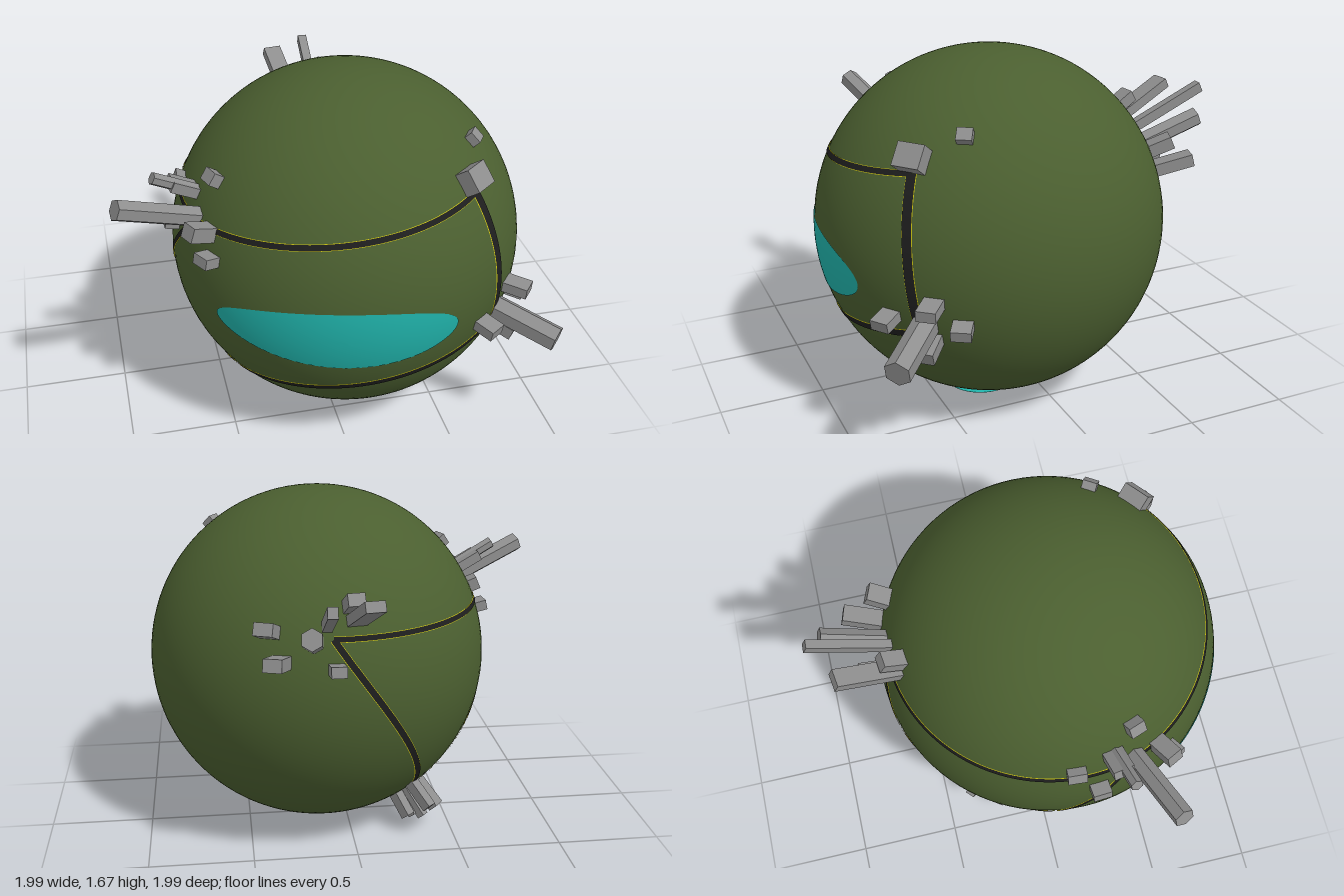
import * as THREE from 'three';

const R = 0.837;
const CENTER = new THREE.Vector3(0.128, 0.84, 0.155);
const DEG = Math.PI / 180;

const mat = (name, color, side = THREE.FrontSide) => {
  const m = new THREE.MeshStandardMaterial({ color, side });
  m.name = name;
  return m;
};

// Unit direction for a latitude and longitude (longitude 0 faces +z, 90 faces +x)
const dir = (lat, lon) => new THREE.Vector3(
  Math.cos(lat * DEG) * Math.sin(lon * DEG), Math.sin(lat * DEG), Math.cos(lat * DEG) * Math.cos(lon * DEG));

// Grid surface from a rule p(u, v)
function gridGeometry(nu, nv, rule) {
  const pos = [], index = [];
  for (let i = 0; i <= nu; i++)
    for (let j = 0; j <= nv; j++) pos.push(...rule(i / nu, j / nv).toArray());
  for (let i = 0; i < nu; i++)
    for (let j = 0; j < nv; j++) {
      const a = i * (nv + 1) + j, b = a + nv + 1;
      index.push(a, b, a + 1, b, b + 1, a + 1);
    }
  const g = new THREE.BufferGeometry();
  g.setAttribute('position', new THREE.Float32BufferAttribute(pos, 3));
  g.setIndex(index);
  g.computeVertexNormals();
  return g;
}

// Strip that follows the globe between two [lat, lon] points
function roadGeometry([lat0, lon0], [lat1, lon1], width, lift) {
  const at = t => dir(lat0 + (lat1 - lat0) * t, lon0 + (lon1 - lon0) * t);
  return gridGeometry(64, 2, (u, v) => {
    const n = at(u);
    const side = at(u + 0.01).sub(at(u - 0.01)).cross(n).normalize();
    return n.multiplyScalar(R).addScaledVector(side, (0.5 - v) * width).setLength(R + lift);
  });
}

export function createModel() {
  const model = new THREE.Group();
  const globe = new THREE.Group();
  globe.name = 'globe';
  globe.position.copy(CENTER);
  model.add(globe);

  const green = mat('grass green', 0x4b5f30);
  const teal = mat('water teal', 0x20b2aa, THREE.DoubleSide);
  const grey = mat('building grey', 0x8e8e8e);
  const black = mat('asphalt', 0x1e1e1e, THREE.DoubleSide);
  const yellow = mat('road edge yellow', 0xc8c010, THREE.DoubleSide);

  const add = (name, geometry, material, parent = globe) => {
    const m = new THREE.Mesh(geometry, material);
    m.name = name;
    parent.add(m);
    return m;
  };

  add('planet', new THREE.SphereGeometry(R, 96, 64), green);

  // Front lake: an ellipse laid onto the surface
  add('frontLake', gridGeometry(16, 64, (u, v) => {
    const a = v * Math.PI * 2;
    const x = -0.188 + 0.515 * u * Math.cos(a), y = -0.075 + 0.155 * u * Math.sin(a);
    return new THREE.Vector3(x, y, Math.sqrt(R * R - x * x - y * y)).setLength(R + 0.003);
  }), teal);

  // Lower lake: a flat disc whose outer edge breaks the surface as a crescent
  const lower = add('lowerLake', new THREE.SphereGeometry(1, 48, 16), teal);
  lower.scale.set(0.17, 0.012, 0.18);
  lower.position.set(0.25, 0.043, 0.25).sub(CENTER);

  // Roads between the settlements
  const west = [20, -73], back = [21, -180], east = [-17, 45], north = [32.5, 39.5], south = [-48, -132];
  const roads = [
    [north, west, 0.026], [north, east, 0.045], [east, south, 0.036],
    [west, back, 0.024], [west, south, 0.026], [back, south, 0.03],
  ];
  for (const [from, to, width] of roads) {
    add('roadEdge', roadGeometry(from, to, width + 0.005, 0.002), yellow);
    add('road', roadGeometry(from, to, width, 0.004), black);
  }

  // Buildings stand radially: [tip x, y, z, width, depth, hexagonal]
  const towns = {
    westTown: [
      [-0.98, 1.29, 0.5, 0.1, 0.1, true], [-0.8, 1.33, 0.33, 0.06, 0.06, true],
      [-0.72, 1.28, 0.3, 0.1, 0.05], [-0.56, 1.35, 0.4, 0.08, 0.06],
      [-0.75, 1.04, 0.21, 0.09, 0.05], [-0.64, 1.04, 0.6, 0.09, 0.05],
      [-0.68, 1.17, 0.56, 0.08, 0.07], [-0.68, 1.19, 0.1, 0.09, 0.06],
    ],
    backTown: [
      [-0.02, 1.36, -0.88, 0.09, 0.05], [0.17, 1.37, -0.98, 0.045, 0.05],
      [0.25, 1.24, -0.92, 0.1, 0.09, true], [0.41, 1.09, -0.8, 0.085, 0.06],
      [0.12, 1.04, -0.78, 0.07, 0.05], [0.44, 1.21, -0.66, 0.09, 0.06],
      [0.03, 1.33, -0.66, 0.08, 0.06],
    ],
    eastTown: [
      [0.95, 0.58, 0.92, 0.125, 0.125, true], [0.86, 0.76, 0.76, 0.09, 0.05],
      [0.9, 0.655, 0.62, 0.09, 0.05], [0.66, 0.65, 0.9, 0.09, 0.05],
      [0.81, 0.54, 0.76, 0.1, 0.06],
    ],
    northTown: [[0.59, 1.38, 0.72, 0.13, 0.11], [0.65, 1.46, 0.49, 0.07, 0.06]],
    southTown: [
      [-0.43, 0.11, -0.24, 0.07, 0.05], [-0.36, 0.07, -0.26, 0.04, 0.04],
      [-0.32, 0.07, -0.24, 0.05, 0.04], [-0.28, 0.09, -0.29, 0.05, 0.05],
      [-0.37, 0.17, -0.37, 0.05, 0.05],
    ],
  };
  const UP = new THREE.Vector3(0, 1, 0);
  for (const [name, buildings] of Object.entries(towns)) {
    const town = new THREE.Group();
    town.name = name;
    globe.add(town);
    for (const [x, y, z, w, d, hex] of buildings) {
      const tip = new THREE.Vector3(x, y, z).sub(CENTER);
      const length = tip.length(), n = tip.normalize();
      const h = length - R + 0.03;
      const geo = hex
        ? new THREE.CylinderGeometry(w / 2, w / 2, h, 6).toNonIndexed()
        : new THREE.BoxGeometry(w, h, d);
      if (hex) geo.computeVertexNormals();
      const b = add(hex ? 'tower' : 'block', geo, grey, town);
      const side = UP.clone().cross(n).normalize();
      b.quaternion.setFromRotationMatrix(new THREE.Matrix4().makeBasis(side, n, side.clone().cross(n)));
      b.position.copy(n).multiplyScalar(length - h / 2);
    }
  }
  return model;
}
